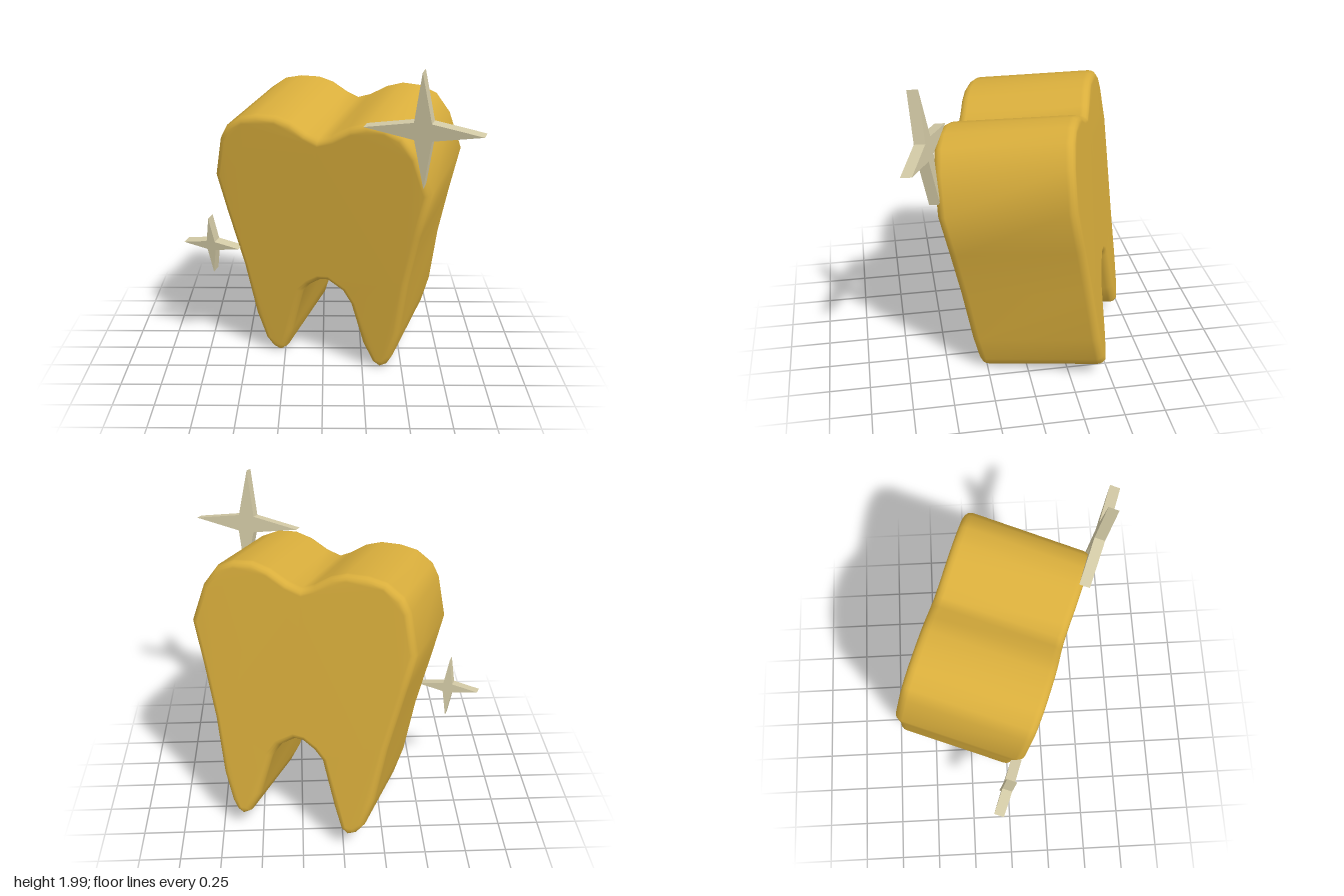
import * as THREE from 'three';
import { mergeVertices } from 'three/addons/utils/BufferGeometryUtils.js';

const gold = new THREE.MeshStandardMaterial({ color: 0xd9ae3c });
gold.name = 'gold';
const ivory = new THREE.MeshStandardMaterial({ color: 0xd2c9a5 });
ivory.name = 'ivory';

const shapeFrom = (points) => new THREE.Shape(points.map(([x, y]) => new THREE.Vector2(x, y)));

// Every part shares the same turn and forward lean
function place(mesh, name, x, y, z) {
  mesh.name = name;
  mesh.rotation.set(THREE.MathUtils.degToRad(8), THREE.MathUtils.degToRad(-20), 0, 'YXZ');
  mesh.position.set(x, y, z);
  return mesh;
}

// Tooth: two-lobed crown and two roots, extruded with a rounded edge
function tooth() {
  const outline = [
    // left root tip and left side, upwards
    [-0.298, 0.005], [-0.35, 0.028], [-0.398, 0.09], [-0.454, 0.28], [-0.511, 0.63],
    [-0.598, 1.01], [-0.649, 1.25], [-0.594, 1.495], [-0.548, 1.576],
    // crown lobes and the dip between them
    [-0.448, 1.645], [-0.34, 1.668], [-0.214, 1.668], [-0.12, 1.64], [-0.026, 1.58],
    [0.047, 1.548], [0.132, 1.575], [0.243, 1.637], [0.35, 1.668], [0.467, 1.66],
    // right side, downwards
    [0.57, 1.615], [0.655, 1.495], [0.729, 1.26], [0.656, 0.97], [0.582, 0.65],
    [0.522, 0.28], [0.465, 0.09], [0.43, 0.03], [0.388, 0.005],
    // gap between the roots
    [0.338, 0.035], [0.275, 0.17], [0.205, 0.45], [0.155, 0.535], [0.062, 0.595],
    [0.01, 0.59], [-0.06, 0.545], [-0.114, 0.485], [-0.204, 0.18], [-0.253, 0.04],
  ];
  let geometry = new THREE.ExtrudeGeometry(shapeFrom(outline), {
    depth: 0.7, bevelThickness: 0.05, bevelSize: 0.04, bevelOffset: -0.04, bevelSegments: 4,
  });
  geometry.translate(0, 0, -0.73);
  geometry.deleteAttribute('uv');
  geometry.deleteAttribute('normal');
  geometry = mergeVertices(geometry, 1e-4);
  geometry.computeVertexNormals();
  return new THREE.Mesh(geometry, gold);
}

// Sparkle: flat four-pointed star with sharp edges
function sparkle(radius) {
  const points = [];
  for (let i = 0; i < 8; i++) {
    const r = i % 2 ? radius * 0.21 : radius;
    const a = (i * Math.PI) / 4;
    points.push([Math.cos(a) * r, Math.sin(a) * r]);
  }
  const geometry = new THREE.ExtrudeGeometry(shapeFrom(points), { depth: 0.065, bevelEnabled: false });
  geometry.translate(0, 0, -0.0325);
  return new THREE.Mesh(geometry, ivory);
}

export function createModel() {
  const group = new THREE.Group();
  group.name = 'shinyTooth';
  group.add(
    place(tooth(), 'tooth', 0, 0, 0.12),
    place(sparkle(0.345), 'largeSparkle', 0.565, 1.655, 0.6),
    place(sparkle(0.193), 'smallSparkle', -0.708, 0.75, -0.01),
  );
  return group;
}
